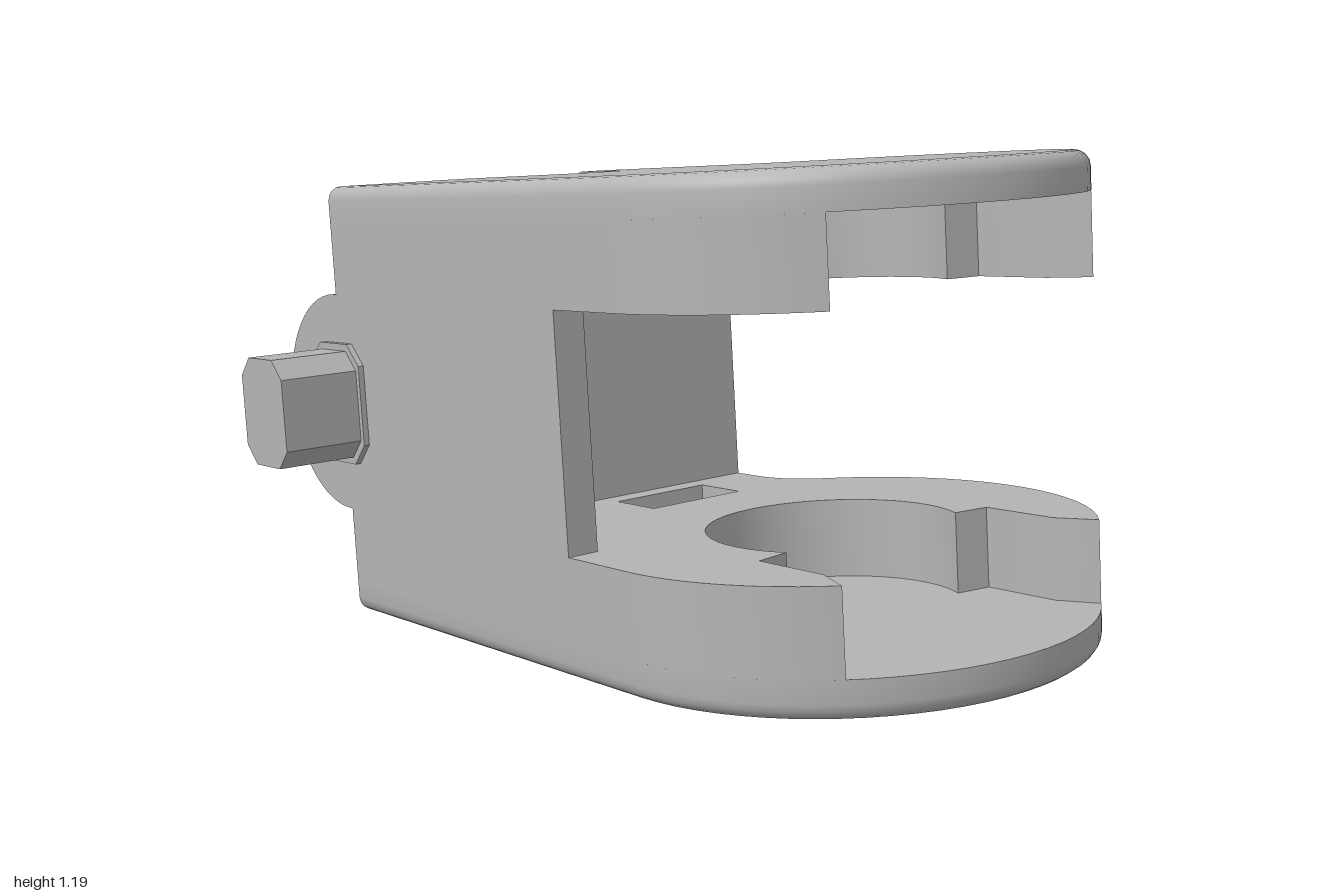
import * as THREE from 'three';
import { toCreasedNormals } from 'three/addons/utils/BufferGeometryUtils.js';

const arc = (cx, cy, r, a0, a1, n) => Array.from({ length: n + 1 }, (_, i) => {
  const a = a0 + (a1 - a0) * i / n;
  return [cx + r * Math.cos(a), cy + r * Math.sin(a)];
});
const vecs = (pts, s = 1) => pts.map(([x, y]) => new THREE.Vector2(x, y * s));

export function createModel() {
  const grey = new THREE.MeshStandardMaterial({ color: 0xb4b4b4 });
  grey.name = 'plain grey';
  const model = new THREE.Group();
  model.name = 'clevisBracket';
  const body = new THREE.Group();
  body.name = 'tiltedBody';
  body.rotation.x = -0.0873;
  body.position.set(0, 0.593, -0.052);
  model.add(body);

  const add = (name, geo) => {
    const flat = geo.index ? geo.toNonIndexed() : geo;
    const mesh = new THREE.Mesh(toCreasedNormals(flat, 0.6), grey);
    mesh.name = name;
    body.add(mesh);
  };
  const box = (name, x0, x1, y0, y1, z0, z1) => add(name,
    new THREE.BoxGeometry(x1 - x0, y1 - y0, z1 - z0)
      .translate((x0 + x1) / 2, (y0 + y1) / 2, (z0 + z1) / 2));

  // Plan outlines as [x, z]: straight back, round front, V notch behind
  const CX = 0.105, CZ = 0.453, R = 0.565, BACK = -0.676, T = 0.863, M = 0.845;
  const leftBack = [[-0.06, BACK], [-0.46, BACK]];
  const rightBack = [
    ...arc(0.607, -0.134, 0.207, Math.PI - T, Math.PI, 8),
    [0.4, BACK], [0.27, BACK], [0.235, -0.6], [0.15, -0.345], [0.06, -0.345], [-0.025, -0.6],
  ];
  const fullOutline = [...leftBack, ...arc(CX, CZ, R, Math.PI, -T, 44), ...rightBack];
  // Round seat with a snap-in mouth at the front
  const mouth = [[0.335, 0.33], [0.335, 0.14]];
  const seatOutline = [
    ...leftBack,
    ...arc(CX, CZ, R, Math.PI, Math.PI - M, 12),
    ...mouth.map(([x, z]) => [CX - x, CZ + z]),
    ...arc(CX, CZ, 0.28, Math.PI - 0.467, Math.PI * 2 + 0.467, 28),
    ...mouth.slice().reverse().map(([x, z]) => [CX + x, CZ + z]),
    ...arc(CX, CZ, R, M, -T, 18),
    ...rightBack,
  ];
  const shaft = [[-0.025, -0.16], [0.235, -0.16], [0.235, -0.02], [-0.025, -0.02]];

  // Upper (s = -1) and lower (s = 1) arms
  for (const s of [-1, 1]) {
    const side = s < 0 ? 'upper' : 'lower';
    const seat = new THREE.Shape(vecs(seatOutline, s));
    seat.holes.push(new THREE.Path(vecs(shaft, s)));
    add(side + 'ArmSeat', new THREE.ExtrudeGeometry(seat, { depth: 0.182, bevelEnabled: false })
      .rotateX(s * Math.PI / 2).translate(0, -s * 0.258, 0));

    // Outer cap, rounded only along its outer rim
    const b = 0.035;
    const cap = new THREE.ExtrudeGeometry(new THREE.Shape(vecs(fullOutline, s)), {
      depth: 0.085 - b, bevelEnabled: true, bevelSize: b, bevelOffset: -b, bevelThickness: b, bevelSegments: 4,
    });
    const p = cap.attributes.position;
    for (let i = 0; i < p.count; i++) {
      if (p.getZ(i) < 0) p.setZ(i, 0);
      if (p.getY(i) * s < BACK + 0.045) p.setY(i, BACK * s);
    }
    add(side + 'ArmCap', cap.rotateX(s * Math.PI / 2).translate(0, -s * 0.44, 0));

    const yBox = (name, x0, x1, a, c, z0, z1) =>
      box(name, x0, x1, s < 0 ? a : -c, s < 0 ? c : -a, z0, z1);
    yBox(side + 'NotchFloor', -0.08, 0.29, 0.25, 0.3, BACK, -0.3);
    yBox(side + 'WindowLedge', -0.39, -0.25, 0.165, 0.262, -0.22, 0.02);
  }

  // Side profiles [-z, y] pushed out along x
  const HZ = 0.686, HR = 0.265;
  const slab = (name, pts, x0, x1, holes = []) => {
    const shape = new THREE.Shape(vecs(pts));
    holes.forEach(h => shape.holes.push(new THREE.Path(vecs(h))));
    add(name, new THREE.ExtrudeGeometry(shape, { depth: x1 - x0, bevelEnabled: false })
      .rotateY(Math.PI / 2).translate(x0, 0, 0));
  };
  const lug = zFront => [[-zFront, -HR], ...arc(HZ, 0, HR, -Math.PI / 2, Math.PI / 2, 28), [-zFront, HR]];
  const pinHoles = [-0.098, 0.098].map(y => arc(0.682, y, 0.066, 0, Math.PI * 2 * 23 / 24, 23));
  slab('rightWallAndLug', lug(0.254), -0.46, -0.385);
  slab('middleLug', lug(-0.215), -0.22, -0.125, pinHoles);
  slab('leftLug', lug(-0.3), 0.33, 0.4, pinHoles);

  // Curved lips bridging the lugs above and below the openings
  const lip = (name, x0, x1, zFront, y) => {
    const pts = [[-zFront, y], [-zFront, HR],
      ...arc(HZ, 0, HR, Math.PI / 2, Math.asin(y / HR), 8)];
    slab('upper' + name, pts, x0, x1);
    slab('lower' + name, pts.map(([u, v]) => [u, -v]), x0, x1);
  };
  lip('WindowLip', -0.39, -0.21, -0.215, 0.18);
  lip('PocketLip', -0.13, 0.34, -0.38, 0.235);
  box('backPlate', -0.22, 0.4, -0.262, 0.262, -0.4, -0.215);

  // Eight-sided pegs; one has a groove above and below
  const plain = [[0.105, 0.085], [0.06, 0.13], [-0.06, 0.13], [-0.105, 0.085],
    [-0.105, -0.085], [-0.06, -0.13], [0.06, -0.13], [0.105, -0.085]];
  const groove = arc(0, 0.098, 0.066, 0.45, -Math.PI - 0.45, 14);
  const grooved = [[0.105, 0.085], [0.07, 0.127], ...groove, [-0.07, 0.127], [-0.105, 0.085],
    [-0.105, -0.085], [-0.07, -0.127], ...groove.map(([u, v]) => [-u, -v]), [0.07, -0.127], [0.105, -0.085]];
  const at = (pts, k) => pts.map(([u, v]) => [u * k + 0.684, v * k]);
  slab('rightPeg', at(plain, 1), -0.67, -0.455);
  slab('rightPegCollar', at(plain, 1.13), -0.474, -0.455);
  slab('leftPeg', at(grooved, 1), 0.395, 0.62);
  slab('leftPegCollar', at(grooved, 1.13), 0.395, 0.414);

  return model;
}
